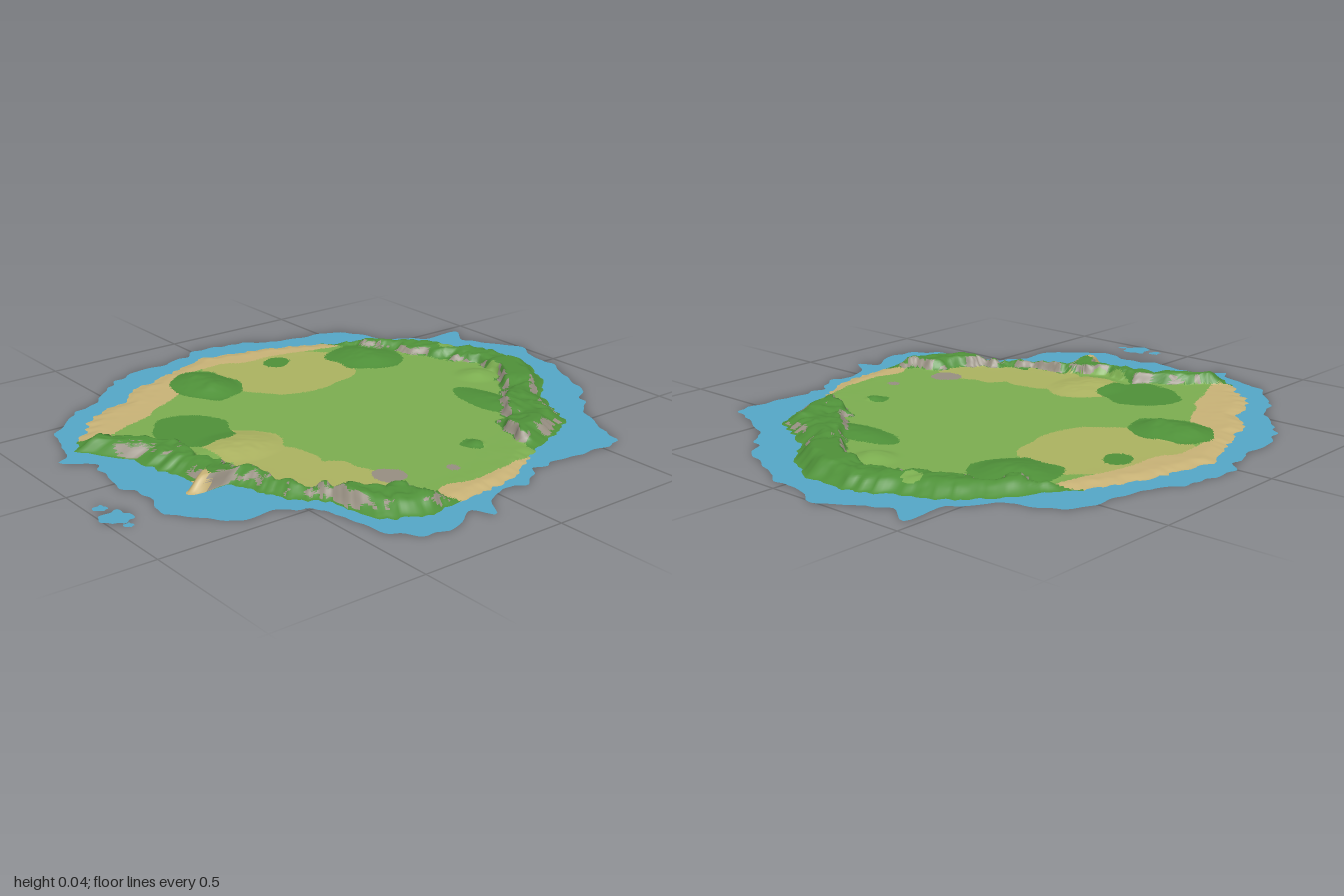
import * as THREE from 'three';

const paint = (name, color) => new THREE.MeshStandardMaterial({ name, color, side: THREE.DoubleSide });
const colours = {
  sand: paint('sand', 0xc9b377),
  dryGrass: paint('dry grass', 0xacb361),
  grass: paint('meadow green', 0x7cae50),
  forest: paint('forest green', 0x4f9139),
  rock: paint('rock grey', 0x978f82),
};
const water = paint('shallow water', 0x55a8c8);

// Radii at even bearings, clockwise from the back (-z)
const COAST = [.88, .81, .73, .72, .74, .69, .66, .67, .71, .71, .74, .78, .77, .64, .64, .63, .6, .66,
  .68, .71, .86, .82, .81, .74, .765, .74, .76, .795, .775, .775, .785, .79, .83, .86, .865, .89];
const SHALLOWS = [.96, .91, .87, .825, .84, .89, .795, .72, .745, .755, .8, .9, .855, .72, .69, .84, .88, .82,
  .835, .82, .91, .91, .88, .845, .845, .87, .83, .865, .89, .84, .88, .93, .865, .92, .96, 1.01];
// Inland foot of the cliffs; a radius past the coast means no ridge there
const CLIFF = [.705, .63, .575, .54, .53, .53, .62, 1, 1, 1, .72, .6, .58, .57, .55, .525, .52, .55,
  .55, .55, .68, 1, 1, 1, 1, 1, 1, 1, 1, 1, .82, .73, .71, .705, .71, .73];
// Where grass gives way to beach
const MEADOW = [.85, .85, .85, .68, .63, .64, .85, .85, .85, .85, .8, .62, .57, .68, .66, .7, .83, .85];

// Oval patches: cover, x, z, radius x, radius z, height of knoll
const PATCHES = [
  ['dryGrass', -.46, -.15, .2, .27, 0], ['dryGrass', -.55, 0, .16, .13, 0],
  ['dryGrass', 0, .4, .13, .15, .018], ['dryGrass', .2, .38, .2, .12, 0], ['dryGrass', .42, .28, .17, .1, 0],
  ['forest', -.43, -.46, .14, .13, .02], ['forest', .2, -.5, .17, .07, .012],
  ['forest', -.53, .17, .15, .11, .028], ['forest', -.2, .44, .15, .13, 0],
  ['forest', -.58, -.17, .05, .05, 0], ['forest', .44, -.2, .035, .035, .012],
  ['grass', -.03, -.64, .08, .08, .016], ['grass', -.29, -.74, .03, .03, 0], ['grass', 0, .53, .1, .03, 0],
  ['rock', .465, .17, .055, .055, 0], ['rock', .53, -.02, .02, .02, 0], ['sand', .17, .72, .06, .1, 0],
];

// Repeatable smooth noise
const { lerp, smoothstep } = THREE.MathUtils;
const hash = (x, y) => { const s = Math.sin(x * 127.1 + y * 311.7) * 43758.5453; return s - Math.floor(s); };
function noise(x, y) {
  const i = Math.floor(x), j = Math.floor(y), f = x - i, g = y - j;
  const u = f * f * (3 - 2 * f), v = g * g * (3 - 2 * g);
  return lerp(lerp(hash(i, j), hash(i + 1, j), u), lerp(hash(i, j + 1), hash(i + 1, j + 1), u), v);
}
const crag = (x, z) => .5 * noise(x * 11, z * 11) + .3 * noise(x * 24 + 7, z * 24) + .2 * noise(x * 52, z * 52 + 3);
const rise = (d, width) => smoothstep(d, 0, width);

// Bearing in degrees, radius lookup, and narrow outline spurs
const bearing = (x, z) => (Math.atan2(x, -z) * 180 / Math.PI + 360) % 360;
function radiusAt(table, deg) {
  const p = deg * table.length / 360, i = Math.floor(p) % table.length;
  return lerp(table[i], table[(i + 1) % table.length], p - Math.floor(p));
}
const spur = (deg, at, size, width) => size * Math.exp(-(((deg - at) / width) ** 2));
const wiggle = (deg, k) => {
  const a = deg * Math.PI / 180;
  return noise(50 + k * Math.sin(a), 50 + k * Math.cos(a)) - .5;
};
const coast = deg => radiusAt(COAST, deg) + spur(deg, 164, .12, 3) + .025 * wiggle(deg, 36);
const shallows = deg => Math.max(coast(deg) + .015, radiusAt(SHALLOWS, deg) + .04 * wiggle(deg, 20)
  + spur(deg, 334, .1, 2.5) + spur(deg, 97, .07, 2) + spur(deg, 195, .05, 2));
const outline = radius => Array.from({ length: 400 }, (_, i) => {
  const deg = i * .9, a = deg * Math.PI / 180;
  return new THREE.Vector2(Math.sin(a), -Math.cos(a)).multiplyScalar(radius(deg));
});

// Positive on the ridge side of the cliff foot
const ridgeDepth = (x, z) => Math.hypot(x, z) - radiusAt(CLIFF, bearing(x, z)) + .05 * (noise(x * 26, z * 26) - .5);

function height(x, z, shore) {
  const rough = crag(x, z);
  let y = .007 * rise(shore, .05) + .003 * noise(x * 30, z * 30) * rise(shore, .02) * (1 - rise(shore, .16));
  y += rise(ridgeDepth(x, z), .035) * rise(shore, .08) * (.015 + .034 * rough);
  for (const [, px, pz, rx, rz, h] of PATCHES) {
    const d = Math.hypot((x - px) / rx, (z - pz) / rz);
    if (d < 1) y += h * (1 - d * d) ** 1.5 * (.6 + .8 * rough) * rise(shore, .05);
  }
  return Math.min(y, .044);
}

function coverAt(x, z, up) {
  const wx = x + .03 * (noise(x * 14, z * 14) - .5), wz = z + .03 * (noise(x * 14 + 9, z * 14) - .5);
  const deg = bearing(x, z), r = Math.hypot(wx, wz);
  const beach = r > radiusAt(MEADOW, deg), ridge = ridgeDepth(x, z) > 0;
  let kind = beach ? 'sand' : 'grass';
  if (ridge) kind = 'forest';
  for (const [name, px, pz, rx, rz] of PATCHES) {
    const overlaid = name === 'dryGrass' && (beach || ridge);
    if (!overlaid && Math.hypot((wx - px) / rx, (wz - pz) / rz) < 1) kind = name;
  }
  // Bare rock on the steep inland cliffs
  if (kind === 'forest' && up < .8 && r < .74 && noise(x * 18, z * 18) > .42) kind = 'rock';
  return kind;
}

// Rings from the middle to the shore, sharing vertices between ground covers
function makeLand(shore) {
  const RINGS = 90, n = shore.length, pos = [];
  for (let i = 0; i <= RINGS; i++) {
    const t = (i / RINGS) ** .62;
    for (const s of shore) {
      const x = s.x * t, z = s.y * t;
      pos.push(x, height(x, z, (1 - t) * s.length()), z);
    }
  }
  const faces = { sand: [], dryGrass: [], grass: [], forest: [], rock: [] }, all = [];
  const A = new THREE.Vector3(), B = new THREE.Vector3(), C = new THREE.Vector3();
  const addFace = (a, b, c) => {
    all.push(a, b, c);
    A.fromArray(pos, a * 3); B.fromArray(pos, b * 3); C.fromArray(pos, c * 3);
    const x = (A.x + B.x + C.x) / 3, z = (A.z + B.z + C.z) / 3;
    const up = B.sub(A).cross(C.sub(A)).normalize().y;
    faces[coverAt(x, z, up)].push(a, b, c);
  };
  for (let i = 0; i < RINGS; i++) for (let j = 0; j < n; j++) {
    const k = (j + 1) % n, a = i * n + j, b = a + n, c = (i + 1) * n + k, d = i * n + k;
    addFace(a, c, b);
    if (i) addFace(a, d, c);
  }
  const base = new THREE.BufferGeometry();
  base.setAttribute('position', new THREE.Float32BufferAttribute(pos, 3));
  base.setIndex(all);
  base.computeVertexNormals();
  const land = new THREE.Group();
  land.name = 'island';
  for (const kind in faces) {
    const g = new THREE.BufferGeometry();
    g.setAttribute('position', base.attributes.position);
    g.setAttribute('normal', base.attributes.normal);
    g.setIndex(faces[kind]);
    const mesh = new THREE.Mesh(g, colours[kind]);
    mesh.name = kind + 'Ground';
    land.add(mesh);
  }
  return land;
}

// Flat sheet of water, with an optional hole
function makeWater(name, edge, hole) {
  const flip = pts => pts.map(p => new THREE.Vector2(p.x, -p.y));
  const shape = new THREE.Shape(flip(edge));
  if (hole) shape.holes.push(new THREE.Path(flip(hole)));
  const mesh = new THREE.Mesh(new THREE.ShapeGeometry(shape).rotateX(-Math.PI / 2), water);
  mesh.name = name;
  return mesh;
}

export function createModel() {
  const model = new THREE.Group();
  model.name = 'islandWithShallows';
  const shore = outline(coast);
  model.add(makeLand(shore), makeWater('shallows', outline(shallows), shore));
  // Detached shoals off the front coast
  for (const [x, z, r] of [[.205, .95, .045], [.125, .958, .02], [.27, .95, .014]]) {
    const shoal = makeWater('shoal', outline(deg => r * (1 + .8 * wiggle(deg, 2))));
    shoal.position.set(x, 0, z);
    model.add(shoal);
  }
  return model;
}
